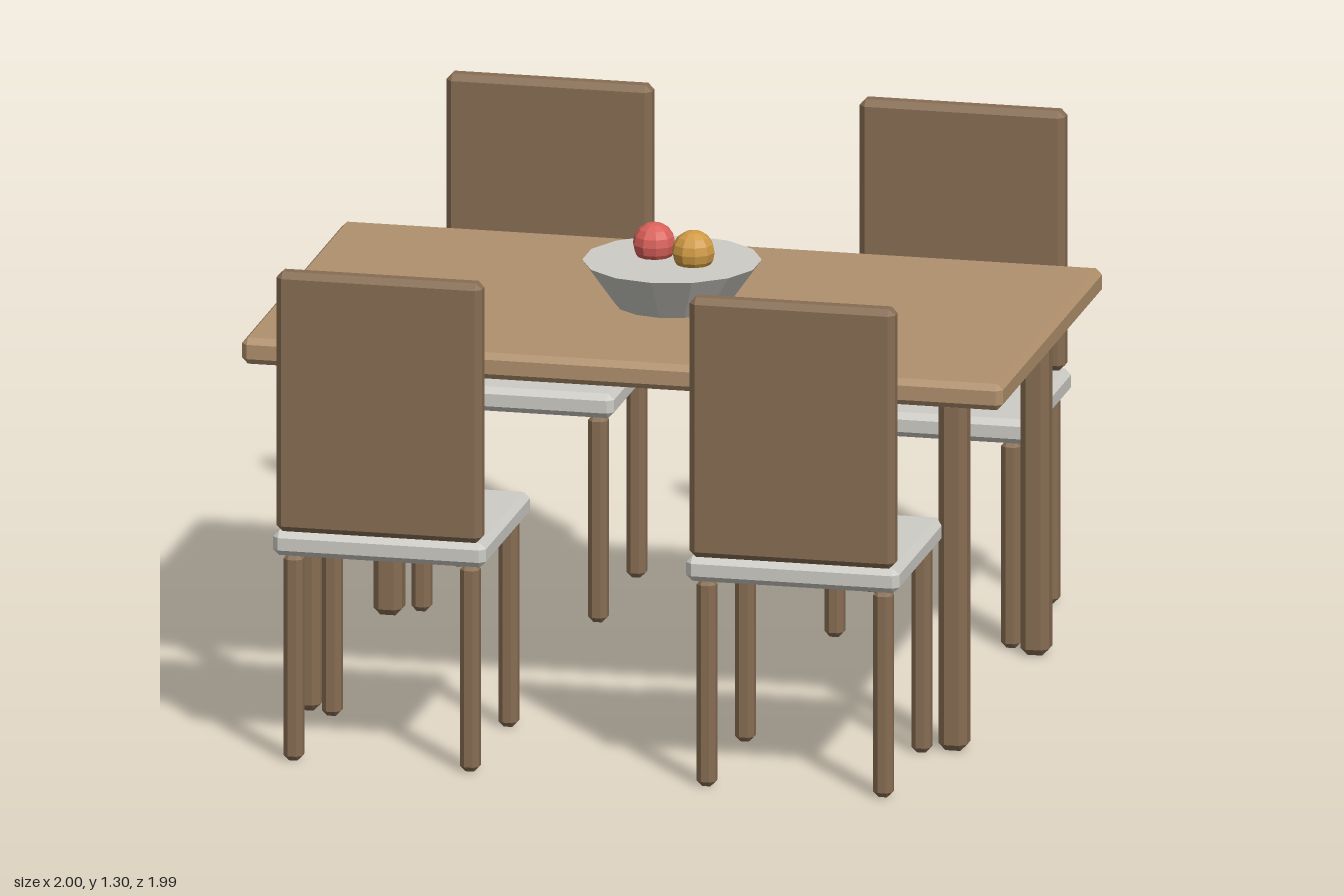
import * as THREE from 'three';
import { ConvexGeometry } from 'three/addons/geometries/ConvexGeometry.js';

const flat = (name, color) => {
  const m = new THREE.MeshStandardMaterial({ color });
  m.name = name;
  return m;
};

// Box with bevelled edges: each corner becomes three points, one per face
function bevelBox(w, h, d, b = 0.016) {
  const points = [];
  for (const x of [-1, 1]) for (const y of [-1, 1]) for (const z of [-1, 1]) {
    for (let axis = 0; axis < 3; axis++) {
      const inset = [b, b, b];
      inset[axis] = 0;
      points.push(new THREE.Vector3(
        x * (w / 2 - inset[0]), y * (h / 2 - inset[1]), z * (d / 2 - inset[2])));
    }
  }
  return new ConvexGeometry(points);
}

function add(parent, name, geometry, material, x, y, z) {
  const mesh = new THREE.Mesh(geometry, material);
  mesh.name = name;
  mesh.position.set(x, y, z);
  parent.add(mesh);
  return mesh;
}

// Low-poly faceted version of a geometry
function faceted(geometry) {
  const g = geometry.toNonIndexed();
  g.computeVertexNormals();
  return g;
}

export function createModel() {
  const model = new THREE.Group();
  model.name = 'diningSet';

  const oak = flat('light wood', 0xb0906d);
  const walnut = flat('dark wood', 0x876d53);
  const pale = flat('pale grey', 0xcdccc6);
  const red = flat('red fruit', 0xd9605a);
  const orange = flat('orange fruit', 0xcf9a45);

  // Table
  const table = new THREE.Group();
  table.name = 'table';
  model.add(table);
  add(table, 'tableTop', bevelBox(2, 0.07, 1.16), oak, 0, 0.97, 0);
  const tableLeg = bevelBox(0.075, 0.935, 0.075, 0.018);
  for (const x of [-0.85, 0.85]) for (const z of [-0.465, 0.465]) {
    add(table, 'tableLeg', tableLeg, walnut, x, 0.4675, z);
  }

  // Chairs: two on each long side, backs outward
  const seat = bevelBox(0.56, 0.065, 0.53);
  const back = bevelBox(0.54, 0.69, 0.06);
  const chairLeg = bevelBox(0.05, 0.55, 0.05, 0.014);
  for (const x of [-0.543, 0.543]) for (const turn of [0, Math.PI]) {
    const chair = new THREE.Group();
    chair.name = 'chair';
    chair.position.set(x, 0, turn ? -0.728 : 0.728);
    chair.rotation.y = turn;
    model.add(chair);
    add(chair, 'seat', seat, pale, 0, 0.5825, 0);
    add(chair, 'chairBack', back, walnut, 0, 0.96, 0.238);
    for (const lx of [-0.232, 0.232]) for (const lz of [-0.218, 0.218]) {
      add(chair, 'chairLeg', chairLeg, walnut, lx, 0.275, lz);
    }
  }

  // Fruit bowl
  const bowl = new THREE.Group();
  bowl.name = 'fruitBowl';
  model.add(bowl);
  add(bowl, 'bowl', faceted(new THREE.CylinderGeometry(0.23, 0.145, 0.118, 14)), pale, 0, 1.061, 0);
  const fruit = faceted(new THREE.SphereGeometry(0.056, 10, 8));
  add(bowl, 'redFruit', fruit, red, -0.053, 1.152, -0.028);
  add(bowl, 'orangeFruit', fruit, orange, 0.062, 1.152, 0.025);

  return model;
}
